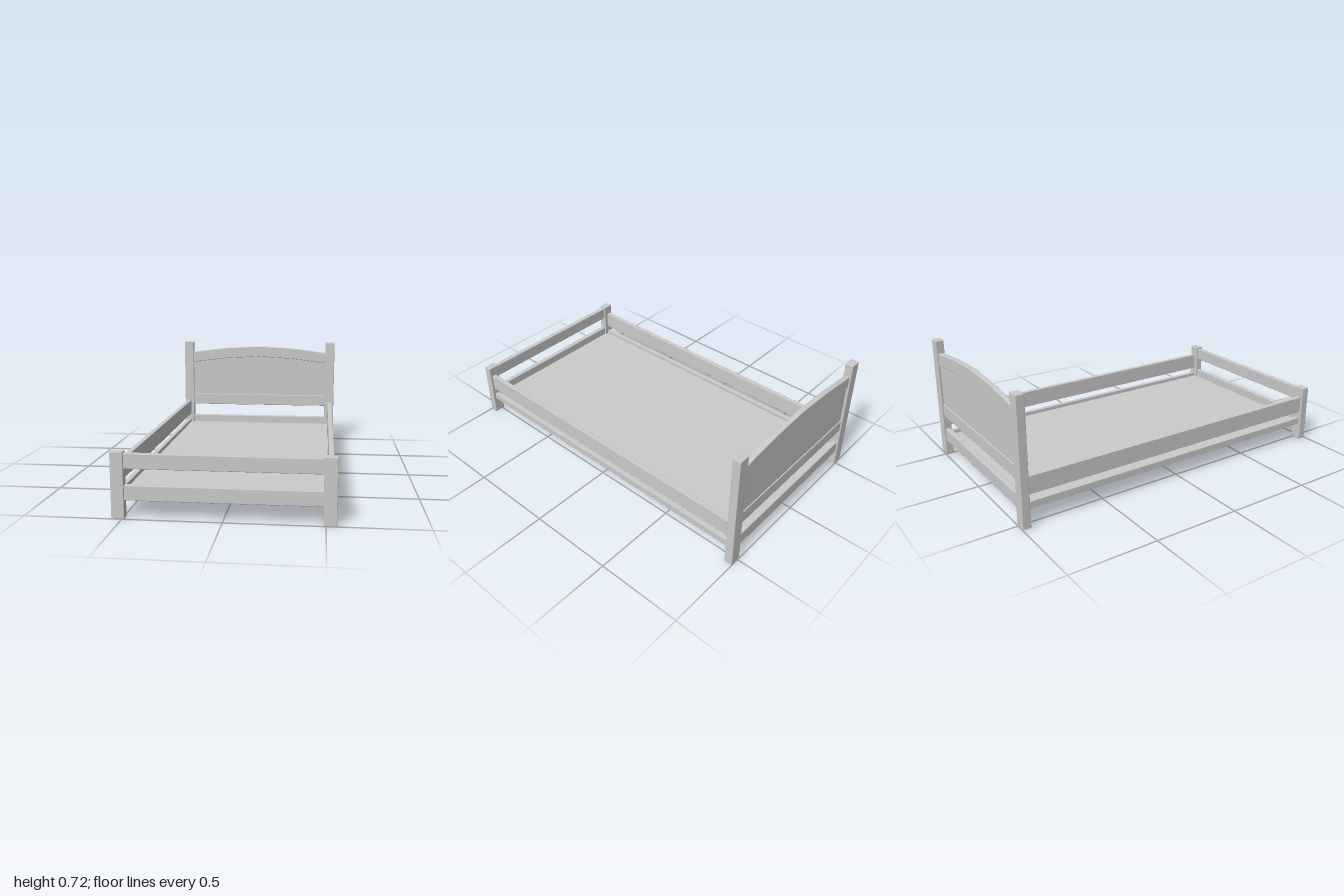
import * as THREE from 'three';
import { RoundedBoxGeometry } from 'three/addons/geometries/RoundedBoxGeometry.js';

export function createModel() {
  const bed = new THREE.Group();
  bed.name = 'bed';
  const material = new THREE.MeshStandardMaterial({ color: 0xcccccc });

  function add(name, geometry, x, y, z) {
    const mesh = new THREE.Mesh(geometry, material);
    mesh.name = name;
    mesh.position.set(x, y, z);
    bed.add(mesh);
  }

  // Softly eased timber, placed by its bottom and top heights
  function timber(name, width, bottom, top, depth, x, z, ease = 0.004) {
    const geometry = new RoundedBoxGeometry(width, top - bottom, depth, 1, ease);
    add(name, geometry, x, (bottom + top) / 2, z);
  }

  const postX = 0.52, endZ = 0.976, innerX = 0.488;

  for (const [side, s] of [['left', 1], ['right', -1]]) {
    // Corner posts
    timber(side + 'FootPost', 0.066, 0, 0.34, 0.048, s * postX, endZ);
    timber(side + 'HeadPost', 0.066, 0, 0.72, 0.048, s * postX, -endZ);
    // Side rail and the slimmer ledge under it
    timber(side + 'SideRail', 0.028, 0.18, 0.28, 1.91, s * 0.524, 0, 0.002);
    timber(side + 'LowerSideRail', 0.028, 0.1, 0.14, 1.91, s * 0.524, 0, 0.002);
  }

  // Cross rails, two at each end
  for (const [end, z] of [['foot', endZ], ['head', -endZ]]) {
    timber(end + 'LowerRail', innerX * 2 + 0.004, 0.093, 0.17, 0.03, 0, z);
    timber(end + 'UpperRail', innerX * 2 + 0.004, 0.253, 0.33, 0.03, 0, z);
  }

  // Platform
  add('platform', new THREE.BoxGeometry(1.022, 0.016, 1.93), 0, 0.11, 0);

  // Shape bounded by two outlines running from left to right
  function band(lower, upper) {
    return new THREE.Shape([...lower, ...[...upper].reverse()].map(([x, y]) => new THREE.Vector2(x, y)));
  }
  const arch = (offset) => [[-innerX, 0.645], [-0.245, 0.675], [0, 0.689], [0.245, 0.675], [innerX, 0.645]]
    .map(([x, y]) => [x, y + offset]);

  // Arched top rail with eased edges
  const bevel = 0.003;
  const archRail = new THREE.ExtrudeGeometry(band(arch(-0.075 + bevel), arch(-bevel)), {
    depth: 0.03 - 2 * bevel, bevelEnabled: true, bevelThickness: bevel, bevelSize: bevel, bevelSegments: 1,
  });
  archRail.translate(0, 0, -0.015 + bevel);
  add('archedTopRail', archRail, 0, 0, -endZ);

  // Recessed headboard panel, tucked into the rails
  const panel = new THREE.ExtrudeGeometry(band([[-innerX, 0.32], [innerX, 0.32]], arch(-0.06)), {
    depth: 0.018, bevelEnabled: false,
  });
  panel.translate(0, 0, -0.009);
  add('headboardPanel', panel, 0, 0, -endZ);

  return bed;
}
